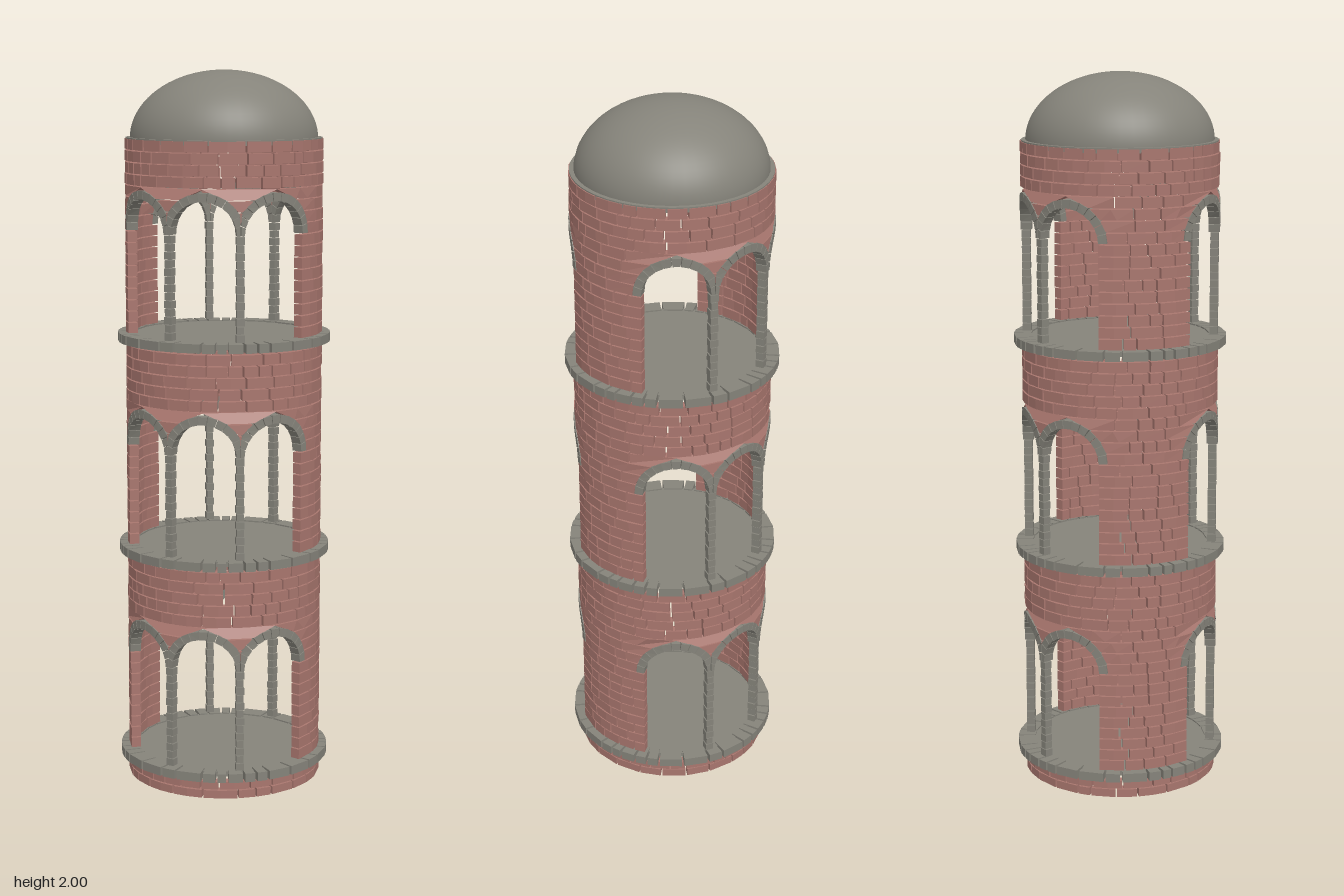
import * as THREE from 'three';

const RAD = Math.PI / 180;
const R_IN = 0.248, R_OUT = 0.275, R_MID = 0.27;   // wall shell
const ROW = 0.0316, JOINT = 0.0035;                // brick courses
const SPACING = 43 * RAD;                          // angle between neighbouring arches
const HALF = SPACING * R_MID / 2;                  // half a bay, as arc length
const ARCH_IN = 0.091, ARCH_OUT = 0.114;           // arch ring radii
const SPRING_ROWS = 9;                             // courses below the arch springing
const ARCHES = [-1, 0, 1].map(i => i * SPACING).concat([-1, 0, 1].map(i => Math.PI + i * SPACING));

let seed = 7;
const random = () => (seed = (seed * 16807) % 2147483647) / 2147483647;

// Adds one block bent round the tower axis; corners are [angle, y] in the
// order bottom left, bottom right, top right, top left, seen from outside.
function addBlock(out, [bl, br, tr, tl], r0, r1) {
  const n = Math.max(1, Math.ceil(Math.abs(br[0] - bl[0]) / 0.28));
  const mix = (a, b, t) => [a[0] + (b[0] - a[0]) * t, a[1] + (b[1] - a[1]) * t];
  const point = ([a, y], r) => [r * Math.sin(a), y, r * Math.cos(a)];
  const quad = (a, b, c, d) => out.push(...a, ...b, ...c, ...a, ...c, ...d);
  for (let i = 0; i < n; i++) {
    const c = [mix(bl, br, i / n), mix(bl, br, (i + 1) / n), mix(tl, tr, (i + 1) / n), mix(tl, tr, i / n)];
    const o = c.map(p => point(p, r1)), k = c.map(p => point(p, r0));
    quad(o[0], o[1], o[2], o[3]);
    quad(k[1], k[0], k[3], k[2]);
    quad(o[3], o[2], k[2], k[3]);
    quad(k[0], k[1], o[1], o[0]);
    if (i === 0) quad(k[0], o[0], o[3], k[3]);
    if (i === n - 1) quad(o[1], k[1], k[2], o[2]);
  }
}

function blockMesh(name, out, material) {
  const g = new THREE.BufferGeometry();
  g.setAttribute('position', new THREE.Float32BufferAttribute(out, 3));
  g.computeVertexNormals();
  const mesh = new THREE.Mesh(g, material);
  mesh.name = name;
  return mesh;
}

// Fills a stretch of one course with bricks of uneven length.
// b0..b1 is the stretch along the bottom edge, t0..t1 along the top edge.
function addCourse(out, y0, y1, b0, b1, t0, t1) {
  const from = Math.max(b0, t0), to = Math.min(b1, t1);
  const gap = 0.005 / R_MID;
  const cuts = [];
  for (let a = from + (0.05 + 0.05 * random()) / R_MID; a < to - 0.03 / R_MID; a += (0.035 + 0.055 * random()) / R_MID) cuts.push(a);
  for (let i = 0; i <= cuts.length; i++) {
    const first = i === 0, last = i === cuts.length;
    const l = first ? null : cuts[i - 1] + gap / 2, r = last ? null : cuts[i] - gap / 2;
    addBlock(out, [
      [first ? b0 : l, y0], [last ? b1 : r, y0],
      [last ? t1 : r, y1 - JOINT], [first ? t0 : l, y1 - JOINT]
    ], R_IN, R_OUT);
  }
}

const addRing = (out, y0, y1) => {
  const s = random() * 6, e = s + Math.PI * 2 - 0.005 / R_MID;
  addCourse(out, y0, y1, s, e, s, e);
};

// Brick wall of one storey, open at the arches
function addWall(out, base, rows) {
  const spring = base + SPRING_ROWS * ROW;
  const opening = (y, row) => {
    if (row < SPRING_ROWS) return ARCH_IN;
    const d = y - spring;
    return d < ARCH_OUT ? Math.sqrt(ARCH_OUT ** 2 - d * d) + 0.002 : 0;
  };
  for (let row = 0; row < rows; row++) {
    const y0 = base + row * ROW, y1 = y0 + ROW;
    const wb = opening(y0, row) / R_MID, wt = opening(y1, row) / R_MID;
    if (wb === 0) { addRing(out, y0, y1); continue; }
    ARCHES.forEach((a, i) => {
      const next = i < 5 ? ARCHES[i + 1] : ARCHES[0] + Math.PI * 2;
      const pier = next - a > SPACING * 1.5;
      if (!pier && (row < SPRING_ROWS || wt >= SPACING / 2)) return;
      const mid = (a + next) / 2;
      addCourse(out, y0, y1, Math.min(a + wb, mid), Math.max(next - wb, mid), a + wt, next - wt);
    });
  }
}

// Ring of wedge stones round each arch, cut where neighbours meet
function addArches(out, base) {
  const spring = base + SPRING_ROWS * ROW, n = 13;
  ARCHES.forEach((centre, i) => {
    const lo = i % 3 === 0 ? -1 : -HALF + 0.001, hi = i % 3 === 2 ? 1 : HALF - 0.001;
    const at = (r, t) => [centre + THREE.MathUtils.clamp(r * Math.cos(t), lo, hi) / R_MID, spring + r * Math.sin(t)];
    for (let k = 0; k < n; k++) {
      const t0 = k / n * Math.PI + 0.01, t1 = (k + 1) / n * Math.PI - 0.01;
      addBlock(out, [at(ARCH_IN, t0), at(ARCH_OUT, t0), at(ARCH_OUT, t1), at(ARCH_IN, t1)], R_IN - 0.002, R_OUT + 0.002);
    }
  });
}

// Slim columns of stacked stones between the arches
function addColumns(out, base) {
  const n = 13, h = SPRING_ROWS * ROW / n;
  for (const side of [0, Math.PI]) for (const s of [-1, 1]) {
    const a = side + s * SPACING / 2;
    for (let k = 0; k < n; k++) {
      const w = (k % 2 ? 0.0095 : 0.0115) / R_MID, y0 = base + k * h, y1 = y0 + h - 0.002;
      addBlock(out, [[a - w, y0], [a + w, y0], [a + w, y1], [a - w, y1]], 0.251, 0.274);
    }
  }
}

// Projecting ledge of uneven stones
function addLedge(out, y0, y1) {
  const widths = [15, 9, 15, 14, 7, 7, 9, 6, 8];
  let a = 180;
  for (let q = 0; q < 4; q++) for (const w of widths) {
    const l = (a - w + 0.7) * RAD, r = (a - 0.7) * RAD;
    addBlock(out, [[l, y0], [r, y0], [r, y1], [l, y1]], R_IN, 0.297);
    a -= w;
  }
}

export function createModel() {
  const brick = new THREE.MeshStandardMaterial({ color: 0xa8766e });
  brick.name = 'brick red';
  const stone = new THREE.MeshStandardMaterial({ color: 0x85837a });
  stone.name = 'stone grey';

  const tower = new THREE.Group();
  tower.name = 'tower';

  const disc = (name, r, y0, y1) => {
    const m = new THREE.Mesh(new THREE.CylinderGeometry(r, r, y1 - y0, 48), stone);
    m.name = name;
    m.position.y = (y0 + y1) / 2;
    tower.add(m);
  };

  // Two brick courses under the lowest ledge
  const footing = [];
  addRing(footing, 0, 0.026);
  addRing(footing, 0.026, 0.052);
  tower.add(blockMesh('footing', footing, brick));

  // Three storeys
  for (let i = 0; i < 3; i++) {
    const storey = new THREE.Group();
    storey.name = 'storey' + (i + 1);
    const base = 0.08 + i * 0.6;
    const parts = { wall: [], arches: [], columns: [], ledge: [] };
    addWall(parts.wall, base, i === 2 ? 17 : 18);
    addArches(parts.arches, base);
    addColumns(parts.columns, base);
    addLedge(parts.ledge, base - 0.027, base - 0.002);
    for (const [name, out] of Object.entries(parts)) storey.add(blockMesh(name, out, name === 'wall' ? brick : stone));
    tower.add(storey);
    disc('floor' + (i + 1), 0.262, base - 0.02, base - 0.006);
  }

  // Roof slab and dome
  disc('roofSlab', 0.272, 1.803, 1.817);
  const dome = new THREE.Mesh(new THREE.SphereGeometry(0.26, 48, 20, 0, Math.PI * 2, 0, Math.PI / 2), stone);
  dome.name = 'dome';
  dome.scale.y = 0.187 / 0.26;
  dome.position.y = 1.813;
  tower.add(dome);

  return tower;
}
